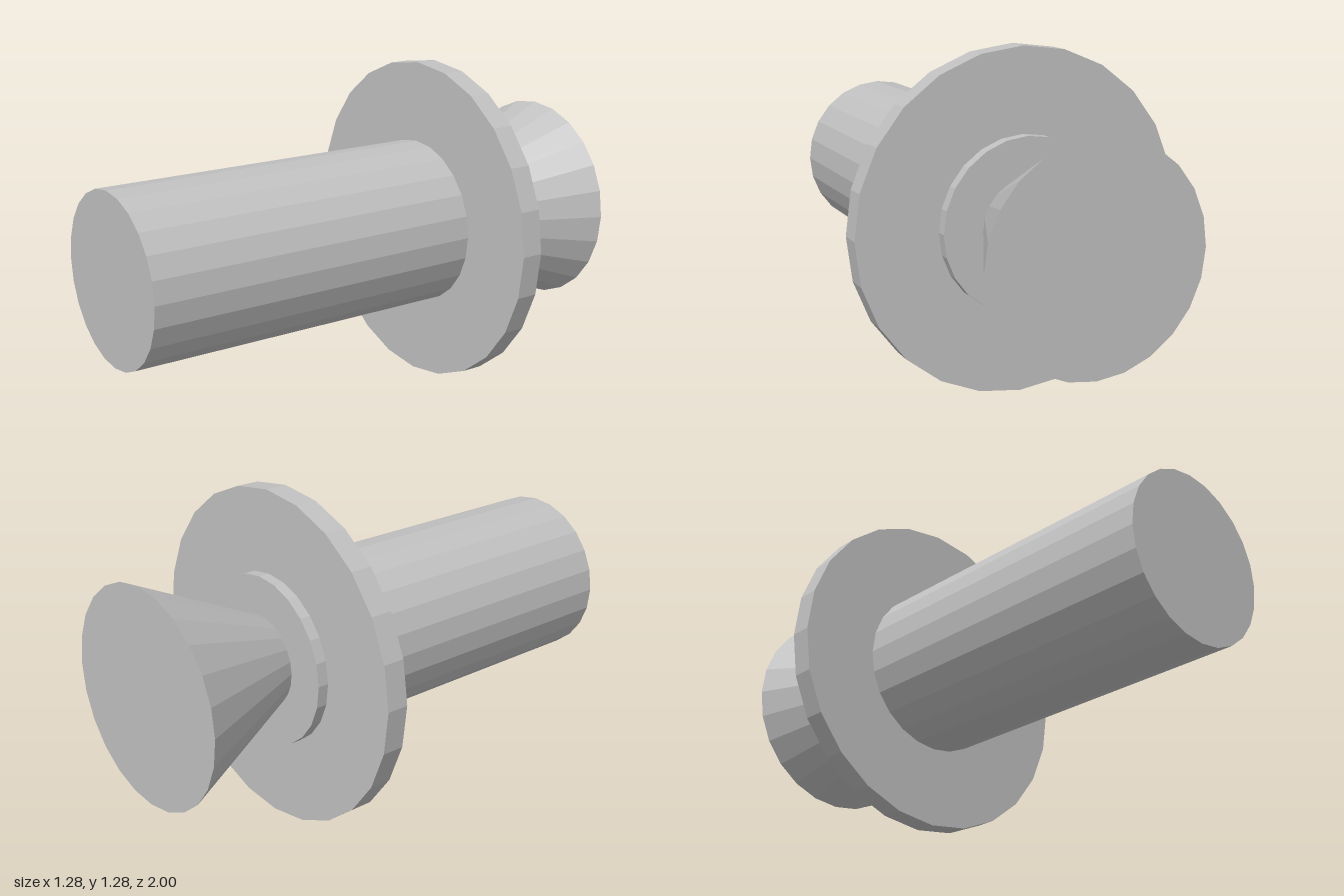
import * as THREE from 'three';

const AXIS_HEIGHT = 0.642;
const SIDES = 24;

export function createModel() {
  const group = new THREE.Group();
  const grey = new THREE.MeshStandardMaterial({ color: 0xc0c0c0, flatShading: true });
  grey.name = 'plainGrey';

  // Turned section along z, from zBack to zFront
  const addSection = (name, rFront, rBack, zFront, zBack) => {
    const geometry = new THREE.CylinderGeometry(rFront, rBack, zFront - zBack, SIDES);
    geometry.rotateX(Math.PI / 2);
    const mesh = new THREE.Mesh(geometry, grey);
    mesh.name = name;
    mesh.position.set(0, AXIS_HEIGHT, (zFront + zBack) / 2);
    group.add(mesh);
  };

  addSection('barrel', 0.327, 0.327, 1, -0.49);
  addSection('flange', 0.642, 0.642, -0.36, -0.447);
  addSection('flaredNozzle', 0.175, 0.415, -0.49, -1);

  return group;
}
